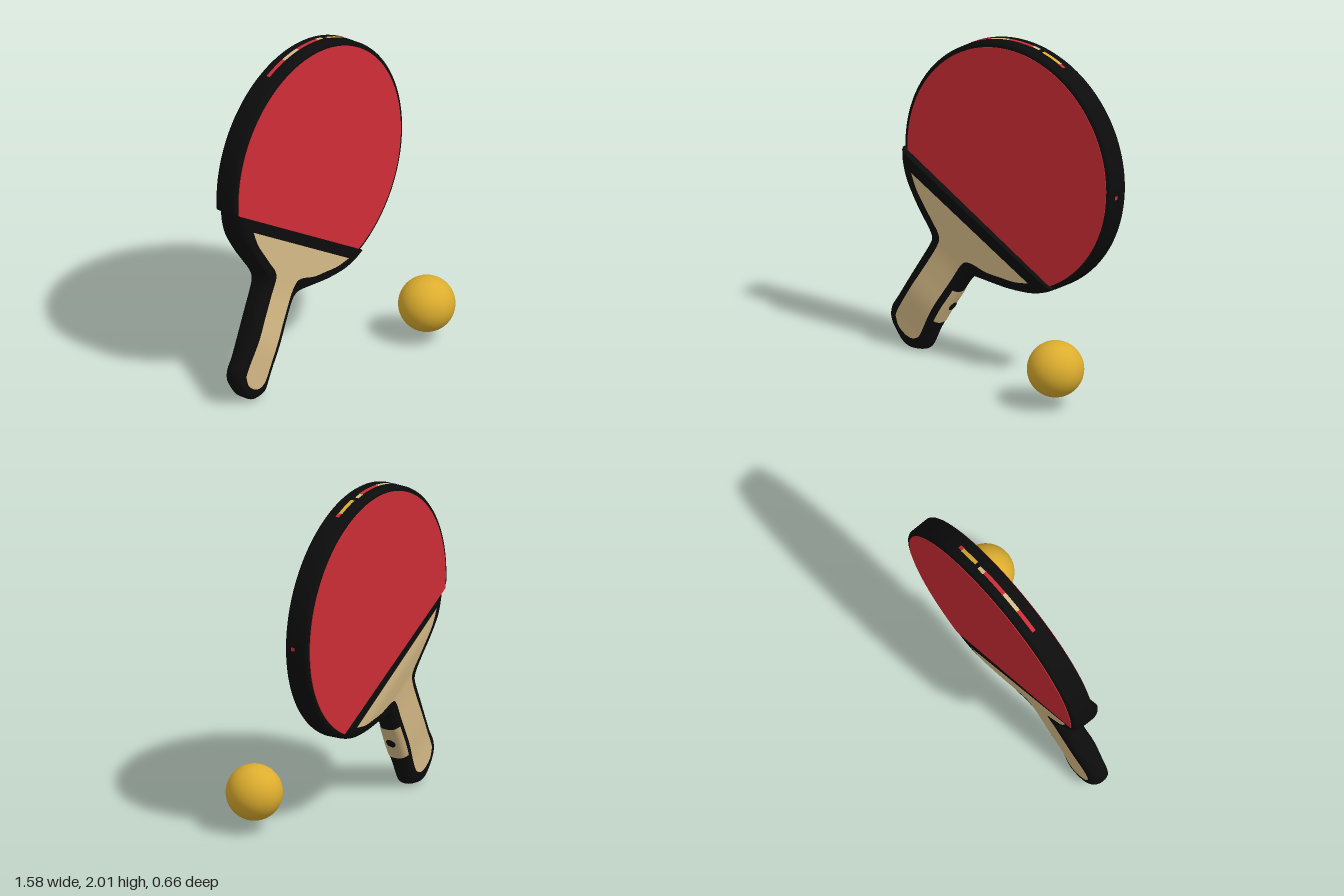
import * as THREE from 'three';
import { mergeVertices, toCreasedNormals } from 'three/addons/utils/BufferGeometryUtils.js';

const TILT = -0.52; // the handle leans towards the lower right-hand side of the model
const RADIUS = 0.757, CUT = -0.404;

// Skin between rows of points running down the handle
function skin(rows) {
  const n = rows[0].length, pos = rows.flat(2), idx = [];
  for (let i = 0; i < rows.length - 1; i++)
    for (let j = 0; j < n - 1; j++) {
      const a = i * n + j, b = a + n;
      idx.push(a, a + 1, b, a + 1, b + 1, b);
    }
  const g = new THREE.BufferGeometry();
  g.setAttribute('position', new THREE.Float32BufferAttribute(pos, 3));
  g.setIndex(idx);
  return toCreasedNormals(mergeVertices(g), 0.8);
}

function spline(points) {
  return new THREE.CatmullRomCurve3(points.map(p => new THREE.Vector3(...p)), false, 'catmullrom', 0.5);
}

// Rounded rectangle around the handle, starting at the back right corner
function ring(s, grow = 0) {
  const h = (s.front - s.back) / 2, mid = (s.front + s.back) / 2;
  const r = Math.min(0.055, s.w, h), out = [];
  for (const k of [3, 0, 1, 2])
    for (let i = 0; i <= 6; i++) {
      const a = (k + i / 6) * Math.PI / 2;
      const sx = k === 0 || k === 3 ? 1 : -1, sz = k < 2 ? 1 : -1;
      out.push([
        s.cx + sx * (s.w - r) + Math.cos(a) * (r + grow), s.v,
        mid + sz * (h - r) + Math.sin(a) * (r + grow)]);
    }
  out.push([...out[0]]);
  return out;
}

// Disc with its lower part cut off straight
function cutDisc(radius, depth, bevel) {
  const a = Math.asin(CUT / radius), shape = new THREE.Shape();
  shape.absarc(0, 0, radius, a, Math.PI - a, false);
  const g = new THREE.ExtrudeGeometry(shape, {
    depth: depth - 2 * bevel, curveSegments: 96, bevelEnabled: bevel > 0,
    bevelThickness: bevel, bevelSize: bevel, bevelOffset: -bevel, bevelSegments: 4 });
  g.translate(0, 0, -(depth - 2 * bevel) / 2);
  return toCreasedNormals(g, 0.6);
}

export function createModel() {
  const model = new THREE.Group();
  model.name = 'tableTennisSet';
  const mat = (name, color) => {
    const m = new THREE.MeshStandardMaterial({ color });
    m.name = name;
    return m;
  };
  const black = mat('black', 0x0c0c0c), red = mat('red', 0xce2c36);
  const wood = mat('wood', 0xd6ba86), gold = mat('gold', 0xdcad2e);
  const add = (parent, name, geometry, material) => {
    const m = new THREE.Mesh(geometry, material);
    m.name = name;
    parent.add(m);
    return m;
  };

  // Blade with a red rubber sheet on each face
  const blade = new THREE.Group();
  blade.name = 'blade';
  blade.position.set(0.025, 1.243, -0.231);
  blade.rotation.set(-0.03, 0, TILT);
  model.add(blade);
  add(blade, 'bladeCore', cutDisc(RADIUS, 0.154, 0.022), black);
  for (const side of [1, -1])
    add(blade, side > 0 ? 'frontRubber' : 'backRubber', cutDisc(0.728, 0.008, 0), red)
      .position.z = side * 0.077;

  // Small painted flecks on the rim: start angle, end angle, offset, colour
  const flecks = [
    [1.83, 2.03, -0.008, red], [1.66, 1.83, -0.008, wood], [1.43, 1.66, -0.008, red],
    [1.365, 1.43, -0.012, wood], [1.143, 1.324, -0.004, gold], [1.1, 1.143, 0, red],
    [-0.05, -0.02, 0.02, red]];
  for (const [a0, a1, z, m] of flecks) {
    const g = new THREE.CylinderGeometry(RADIUS + 0.002, RADIUS + 0.002, 0.024, 12, 1, true,
      a0 - TILT + Math.PI / 2, a1 - a0);
    g.rotateX(Math.PI / 2);
    add(blade, 'rimFleck', g, m).position.z = z;
  }

  // Handle sections: centre, distance along axis, half width, front, back
  const table = [
    [0, -0.4, 0.64, -0.1, -0.292], [0, -0.46, 0.6, -0.1, -0.29],
    [0, -0.53, 0.53, -0.1, -0.285], [0, -0.6, 0.42, -0.1, -0.27],
    [0, -0.65, 0.32, -0.1, -0.257], [-0.003, -0.69, 0.235, -0.1, -0.25],
    [-0.02, -0.73, 0.178, -0.1, -0.245], [-0.03, -0.79, 0.16, -0.098, -0.238],
    [-0.033, -0.92, 0.157, -0.086, -0.227], [-0.035, -1.06, 0.155, -0.071, -0.215],
    [-0.035, -1.2, 0.16, -0.073, -0.2], [-0.033, -1.28, 0.166, -0.075, -0.197],
    [-0.02, -1.34, 0.15, -0.076, -0.196], [-0.005, -1.385, 0.09, -0.08, -0.193],
    [0, -1.405, 0.05, -0.09, -0.185], [0, -1.41, 0.002, -0.11, -0.165]];
  const plan = spline(table.map(t => t.slice(0, 3)));
  const depth = spline(table.map(t => [t[3], t[4], 0]));
  const sections = [];
  const steps = (table.length - 1) * 4;
  for (let i = 0; i <= steps; i++) {
    const p = plan.getPoint(i / steps), d = depth.getPoint(i / steps);
    sections.push({ cx: p.x, v: p.y, w: p.z, front: d.x, back: d.y });
  }
  const handle = new THREE.Group();
  handle.name = 'handle';
  handle.position.set(0.025, 1.243, 0);
  handle.rotation.z = TILT;
  model.add(handle);
  const rows = sections.map(s => ring(s));
  const cap = rows[0].map(() => [0, -0.4, -0.196]);
  add(handle, 'handleBody', skin([cap, ...rows]), black);

  // Wooden inlays on the front and back: centre, distance along axis, half width
  const inlay = spline([
    [0, -0.465, 0.495], [0, -0.53, 0.41], [0, -0.575, 0.32], [0, -0.62, 0.225],
    [-0.025, -0.652, 0.135], [-0.03, -0.7, 0.098], [-0.033, -0.85, 0.093],
    [-0.04, -1.08, 0.093], [-0.036, -1.26, 0.1], [-0.03, -1.305, 0.085],
    [-0.025, -1.335, 0.05], [-0.02, -1.345, 0.002]]);
  const lookup = v => {
    const i = Math.max(1, sections.findIndex(s => s.v <= v));
    const a = sections[i - 1], b = sections[i], t = (v - a.v) / (b.v - a.v);
    return { front: a.front + (b.front - a.front) * t, back: a.back + (b.back - a.back) * t };
  };
  for (const side of [1, -1]) {
    const strip = inlay.getPoints(66).map(p => {
      const d = lookup(p.y), z = side > 0 ? d.front + 0.004 : d.back - 0.004;
      return [1, 0.5, 0, -0.5, -1].map(k => [p.x + side * k * p.z, p.y, z]);
    });
    add(handle, side > 0 ? 'frontInlay' : 'backInlay', skin(strip), wood);
  }

  // Wooden band with a dark dot on the handle's left edge
  const bandRows = sections.filter(s => s.v < -0.885 && s.v > -1.15);
  add(handle, 'sideBand', skin(bandRows.map(s => ring(s, 0.004).slice(1, 12))), wood);
  const dot = add(handle, 'sideDot', new THREE.CylinderGeometry(0.03, 0.03, 0.008, 24), black);
  dot.rotation.z = Math.PI / 2;
  dot.position.set(0.123, -1.01, -0.148);

  // Ball
  add(model, 'ball', new THREE.SphereGeometry(0.167, 48, 32), gold).position.set(0.622, 0.232, 0.158);
  return model;
}
